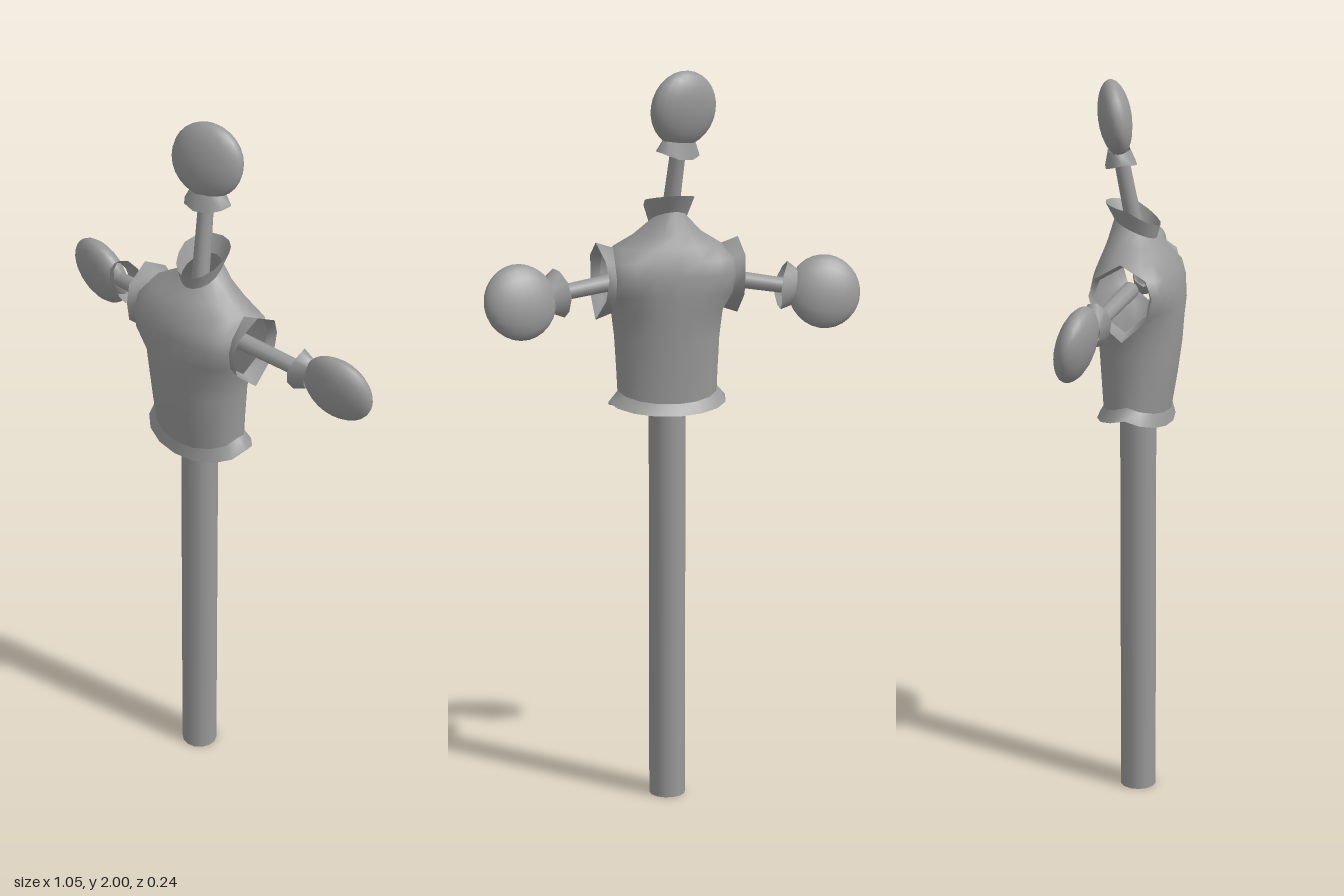
import * as THREE from 'three';
import { mergeVertices } from 'three/addons/utils/BufferGeometryUtils.js';

const grey = new THREE.MeshStandardMaterial({ color: 0x999999, side: THREE.DoubleSide });
grey.name = 'plain grey';

function mesh(name, geometry) {
  const m = new THREE.Mesh(geometry, grey);
  m.name = name;
  return m;
}

// Skin a list of equal-length closed rings of [x, y, z]; skip = edge index left open
function loft(rings, skip = -1) {
  const n = rings[0].length;
  const index = [];
  for (let r = 0; r < rings.length - 1; r++) {
    for (let i = 0; i < n; i++) {
      if (i === skip || (skip >= 0 && i === n - 1)) continue;
      const j = (i + 1) % n;
      const a = r * n + i, b = r * n + j, c = a + n, d = b + n;
      index.push(a, c, b, b, c, d);
    }
  }
  let g = new THREE.BufferGeometry();
  g.setAttribute('position', new THREE.Float32BufferAttribute(rings.flat(2), 3));
  g.setIndex(index);
  g = mergeVertices(g, 1e-5);
  g.computeVertexNormals();
  return g;
}

// Body ring: front half then back half, optionally parted at the sides for the armholes
const HALF = 8;
function bodyRing({ y, yF = y, yB = y, w, zf, zb, hf = -0.005, hb = hf }) {
  const ring = [];
  for (let i = 0; i <= HALF; i++) {
    const t = (i / HALF) * Math.PI, s = Math.sin(t);
    ring.push([w * Math.cos(t), y + (yF - y) * s, hf + (zf - hf) * s]);
  }
  for (let i = 0; i <= HALF; i++) {
    const t = (i / HALF) * Math.PI, s = Math.sin(t);
    ring.push([-w * Math.cos(t), y + (yB - y) * s, hb + (zb - hb) * s]);
  }
  return ring;
}

const hemTop = { y: 1.15, yF: 1.115, yB: 1.12, w: 0.14, zf: 0.085, zb: -0.095 };
const hemLip = { y: 1.12, yF: 1.08, yB: 1.09, w: 0.166, zf: 0.092, zb: -0.112 };
const neckBase = { y: 1.605, yF: 1.58, yB: 1.63, w: 0.05, zf: 0.045, zb: -0.068, hf: -0.01 };
const neckLip = { y: 1.66, yF: 1.615, yB: 1.675, w: 0.067, zf: 0.055, zb: -0.092, hf: -0.02 };
const holeRows = [
  { y: 1.36, w: 0.155, zf: 0.118, zb: -0.112 },
  { y: 1.41, w: 0.163, zf: 0.119, zb: -0.116, hf: 0.053, hb: -0.07 },
  { y: 1.46, w: 0.166, zf: 0.115, zb: -0.116, hf: 0.063, hb: -0.085 },
  { y: 1.5, w: 0.166, zf: 0.105, zb: -0.11, hf: 0.05, hb: -0.07 },
  { y: 1.535, w: 0.152, zf: 0.087, zb: -0.1, hf: -0.008 },
];
const bodyRows = [
  hemTop,
  { y: 1.21, yF: 1.2, yB: 1.2, w: 0.142, zf: 0.1, zb: -0.1 },
  { y: 1.29, w: 0.146, zf: 0.113, zb: -0.106 },
  ...holeRows,
  { y: 1.57, yF: 1.555, w: 0.095, zf: 0.07, zb: -0.087, hf: -0.008 },
  neckBase,
];

// Flared cuff around an armhole
function sleeve(side) {
  const front = holeRows.map(r => [r.w, r.y, r.hf ?? -0.005]);
  const back = holeRows.slice(1, 4).reverse().map(r => [r.w, r.y, r.hb]);
  const inner = [...front, ...back];
  const outer = inner.map(([, y, z]) => [
    0.188 + 0.14 * Math.abs(y - 1.45),
    1.448 + (y - 1.448) * 1.18,
    -0.011 + (z + 0.011) * 1.13,
  ]);
  return loft([inner, outer].map(ring => ring.map(([x, y, z]) => [side * x, y, z])));
}

// Stick ending in a flat padded bulb with a flared cuff
function limb(name, start, wrist, centre, normal) {
  const g = new THREE.Group();
  g.name = name;
  const a = new THREE.Vector3(...start), b = new THREE.Vector3(...wrist);
  const up = new THREE.Vector3(...centre).sub(b).normalize();

  const end = b.clone().addScaledVector(up, 0.06);
  const dir = end.clone().sub(a);
  const stick = mesh(name + 'Stick', new THREE.CylinderGeometry(0.02, 0.024, dir.length(), 10));
  stick.position.copy(a).add(end).multiplyScalar(0.5);
  stick.quaternion.setFromUnitVectors(new THREE.Vector3(0, 1, 0), dir.normalize());

  const pad = new THREE.Group();
  pad.name = name + 'Pad';
  const xAxis = up.clone().cross(new THREE.Vector3(...normal)).normalize();
  const zAxis = xAxis.clone().cross(up);
  pad.quaternion.setFromRotationMatrix(new THREE.Matrix4().makeBasis(xAxis, up, zAxis));
  pad.position.copy(b);

  const bulb = mesh(name + 'Bulb', new THREE.SphereGeometry(0.1, 20, 14));
  bulb.scale.z = 0.44;
  bulb.position.y = 0.125;

  const ring = (r, depth, y, wave) => Array.from({ length: 10 }, (_, i) => {
    const t = (i / 10) * Math.PI * 2;
    return [r * Math.cos(t), y + wave * Math.cos(2 * t), depth * Math.sin(t)];
  });
  const cuff = mesh(name + 'Cuff', loft([ring(0.05, 0.03, 0.04, 0), ring(0.066, 0.043, 0.004, 0.008)]));
  pad.add(bulb, cuff);
  g.add(stick, pad);
  return g;
}

export function createModel() {
  const model = new THREE.Group();
  model.name = 'trainingDummy';

  // Post
  const post = mesh('post', new THREE.CylinderGeometry(0.05, 0.05, 1.3, 14));
  post.position.set(0, 0.65, -0.005);
  model.add(post);

  // Padded body with open armholes, hem and collar
  model.add(
    mesh('body', loft(bodyRows.map(bodyRing), HALF)),
    mesh('hem', loft([hemLip, hemTop].map(bodyRing), HALF)),
    mesh('collar', loft([neckBase, neckLip].map(bodyRing), HALF)),
    mesh('leftSleeve', sleeve(1)),
    mesh('rightSleeve', sleeve(-1)),
  );

  // Head and arms
  model.add(
    limb('head', [0, 1.56, -0.005], [-0.014, 1.775, -0.048], [-0.026, 1.9, -0.061], [0.287, 0, 0.958]),
    limb('leftArm', [0.08, 1.455, -0.008], [0.302, 1.43, -0.045], [0.424, 1.412, -0.066], [0, -0.2, 1]),
    limb('rightArm', [-0.08, 1.455, -0.008], [-0.306, 1.42, -0.048], [-0.428, 1.398, -0.068], [0, -0.2, 1]),
  );
  return model;
}
